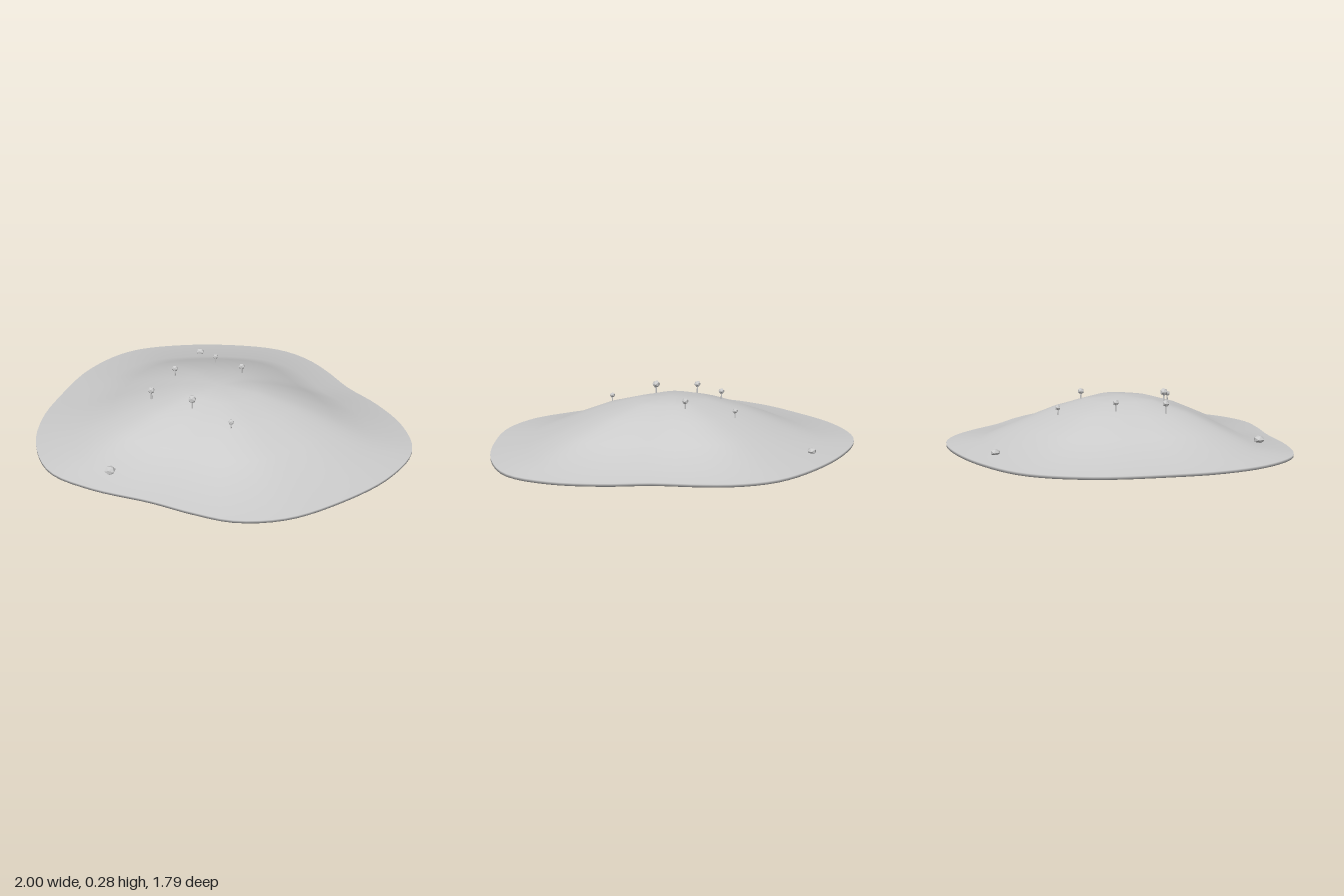
import * as THREE from 'three';

const grey = new THREE.MeshStandardMaterial({ color: 0xcccccc });
grey.name = 'pale grey';
const foliageGrey = grey.clone();
foliageGrey.flatShading = true;

// Island centre and shoreline, as [x, z] pairs
const CX = -0.04, CZ = 0.02;
const SHORE = [
  [-0.02, -0.9], [-0.4, -0.85], [-0.72, -0.71], [-0.9, -0.45], [-0.98, -0.1], [-1, 0.15],
  [-0.95, 0.41], [-0.8, 0.64], [-0.56, 0.745], [-0.24, 0.805], [-0.02, 0.863], [0.19, 0.893],
  [0.43, 0.83], [0.67, 0.65], [0.89, 0.4], [1, 0.13], [0.94, -0.11], [0.79, -0.32],
  [0.62, -0.48], [0.48, -0.66], [0.35, -0.79], [0.19, -0.875],
];

// Rings from the base edge up to the hilltop: [scale of shoreline, height]
const RINGS = [[1, 0], [1, 0.015], [0.8, 0.03], [0.6, 0.11], [0.4, 0.183], [0.2, 0.233]];
const SUMMIT = 0.247;

// Smooth hill: scaled shoreline rings, closed by a fan on top and one below
function createHill() {
  const N = 96;
  const curve = new THREE.CatmullRomCurve3(
    SHORE.map(([x, z]) => new THREE.Vector3(x, 0, z)), true, 'centripetal');
  const shore = curve.getSpacedPoints(N).slice(0, N);
  const positions = [];
  const index = [];
  for (const [s, y] of RINGS) {
    for (const p of shore) positions.push(CX + (p.x - CX) * s, y, CZ + (p.z - CZ) * s);
  }
  const top = RINGS.length * N;
  const bottom = top + 1;
  positions.push(CX, SUMMIT, CZ, CX, 0, CZ);
  for (let i = 0; i < N; i++) {
    const j = (i + 1) % N;
    for (let r = 0; r < RINGS.length - 1; r++) {
      const a = r * N + i, b = r * N + j, c = a + N, d = b + N;
      index.push(a, b, d, a, d, c);
    }
    const last = (RINGS.length - 1) * N;
    index.push(last + i, last + j, top);
    index.push(j, i, bottom);
  }
  const geometry = new THREE.BufferGeometry();
  geometry.setAttribute('position', new THREE.Float32BufferAttribute(positions, 3));
  geometry.setIndex(index);
  geometry.computeVertexNormals();
  const hill = new THREE.Mesh(geometry, grey);
  hill.name = 'hill';
  return hill;
}

// Tree: thin trunk with a faceted round crown centred at height y
function createTree(x, y, z, r) {
  const tree = new THREE.Group();
  tree.name = 'tree';
  const height = r * 2.8;
  const trunk = new THREE.Mesh(new THREE.CylinderGeometry(r * 0.18, r * 0.26, height, 6), grey);
  trunk.name = 'trunk';
  trunk.position.y = -height / 2;
  const crown = new THREE.Mesh(new THREE.IcosahedronGeometry(r, 0), foliageGrey);
  crown.name = 'crown';
  tree.add(trunk, crown);
  tree.position.set(x, y, z);
  return tree;
}

// Low boulder half sunk in the shore
function createBoulder(x, y, z, r) {
  const boulder = new THREE.Mesh(new THREE.IcosahedronGeometry(r, 0), foliageGrey);
  boulder.name = 'boulder';
  boulder.scale.y = 0.75;
  boulder.position.set(x, y, z);
  return boulder;
}

export function createModel() {
  const model = new THREE.Group();
  model.name = 'hillIsland';
  model.add(createHill());

  // Trees: x, crown height, z, crown radius
  const trees = [
    [-0.13, 0.212, -0.36, 0.015],
    [0.05, 0.265, -0.17, 0.018],
    [-0.31, 0.251, -0.11, 0.017],
    [-0.385, 0.243, 0.135, 0.019],
    [-0.145, 0.266, 0.23, 0.022],
    [0.08, 0.222, 0.35, 0.015],
  ];
  for (const t of trees) model.add(createTree(...t));

  model.add(createBoulder(-0.49, 0.042, 0.62, 0.03));
  model.add(createBoulder(-0.295, 0.035, -0.74, 0.025));
  return model;
}
